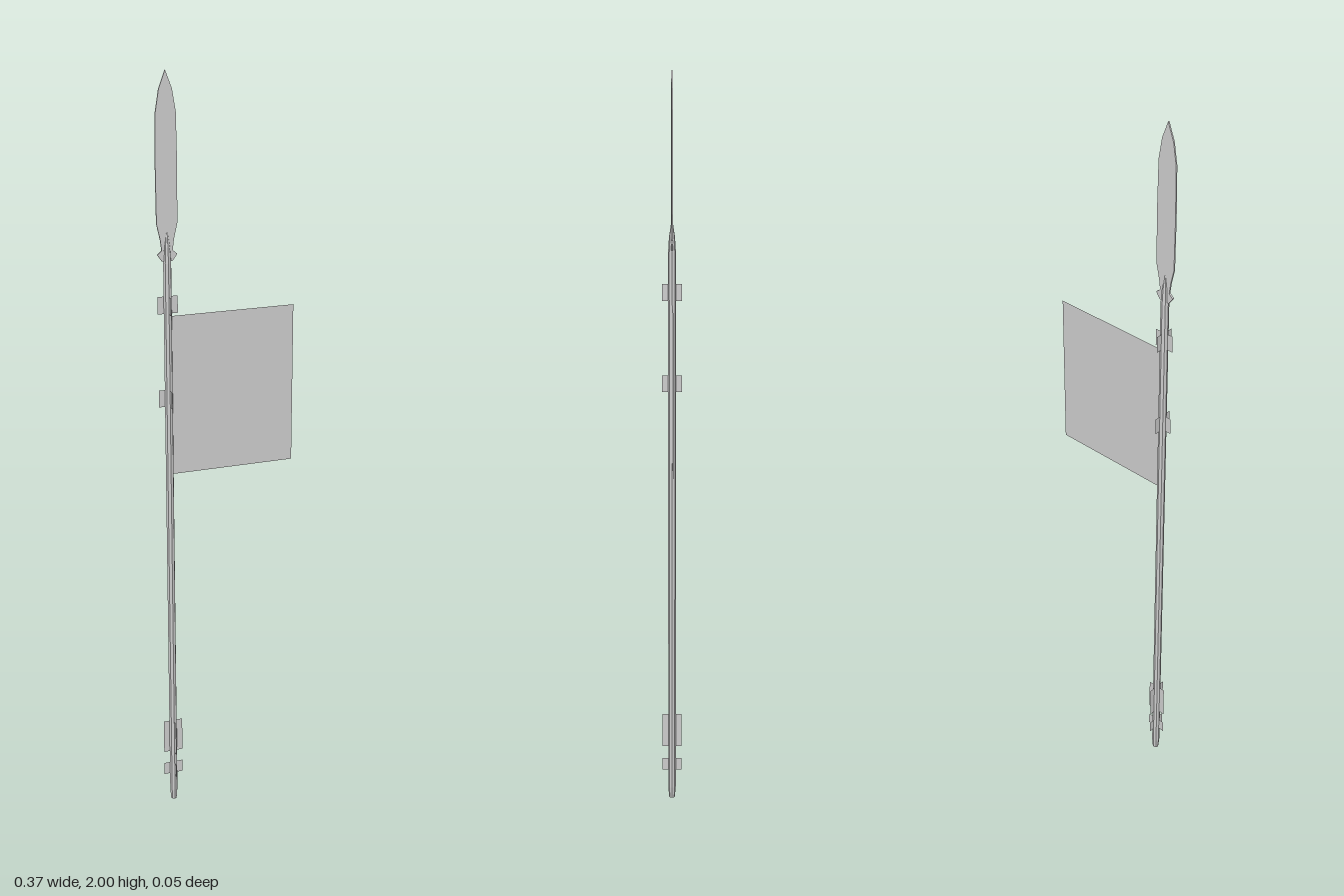
import * as THREE from 'three';

const POLE_X = -0.157;

export function createModel() {
  const group = new THREE.Group();
  const solid = new THREE.MeshStandardMaterial({ color: 0xcccccc, flatShading: true });
  const sheet = new THREE.MeshStandardMaterial({ color: 0xcccccc, side: THREE.DoubleSide });

  const add = (name, geometry, material, x, y, z = 0) => {
    const mesh = new THREE.Mesh(geometry, material);
    mesh.name = name;
    mesh.position.set(x, y, z);
    group.add(mesh);
    return mesh;
  };

  // Shaft with a narrower foot and a tapered neck
  const profile = [[0, 0], [0.008, 0], [0.0105, 0.03], [0.0105, 1.53], [0.008, 1.57], [0.002, 1.61], [0, 1.61]];
  add('shaft', new THREE.LatheGeometry(profile.map(([r, y]) => new THREE.Vector2(r, y)), 8), solid, POLE_X, 0);

  // Thin plate cut from the right half of an outline, mirrored across its middle
  const plate = (half, depth) => {
    const left = half.filter(([x]) => x > 0).reverse().map(([x, y]) => [-x, y]);
    const shape = new THREE.Shape([...half, ...left].map(([x, y]) => new THREE.Vector2(x, y)));
    return new THREE.ExtrudeGeometry(shape, { depth, bevelEnabled: false }).translate(0, 0, -depth / 2);
  };

  // Spear blade and the small winged collar under it
  add('blade', plate([[0.014, 1.56], [0.018, 1.59], [0.027, 1.63], [0.028, 1.77], [0.026, 1.9], [0.017, 1.955], [0, 2]], 0.004),
    solid, POLE_X, 0);
  add('collar', plate([[0.014, 1.535], [0.026, 1.552], [0.014, 1.562]], 0.005), solid, POLE_X, 0);

  // Bindings: pairs of crossed cards around the shaft
  for (const [bottom, top] of [[0.08, 0.115], [0.15, 0.245], [1.155, 1.2], [1.4, 1.445]]) {
    for (const turn of [0, Math.PI / 2]) {
      const card = new THREE.PlaneGeometry(0.053, top - bottom);
      add('binding', card, sheet, POLE_X, (top + bottom) / 2).rotation.y = turn;
    }
  }

  // Flat banner
  add('banner', new THREE.PlaneGeometry(0.332, 0.424), sheet, 0.017, 1.181);

  return group;
}
